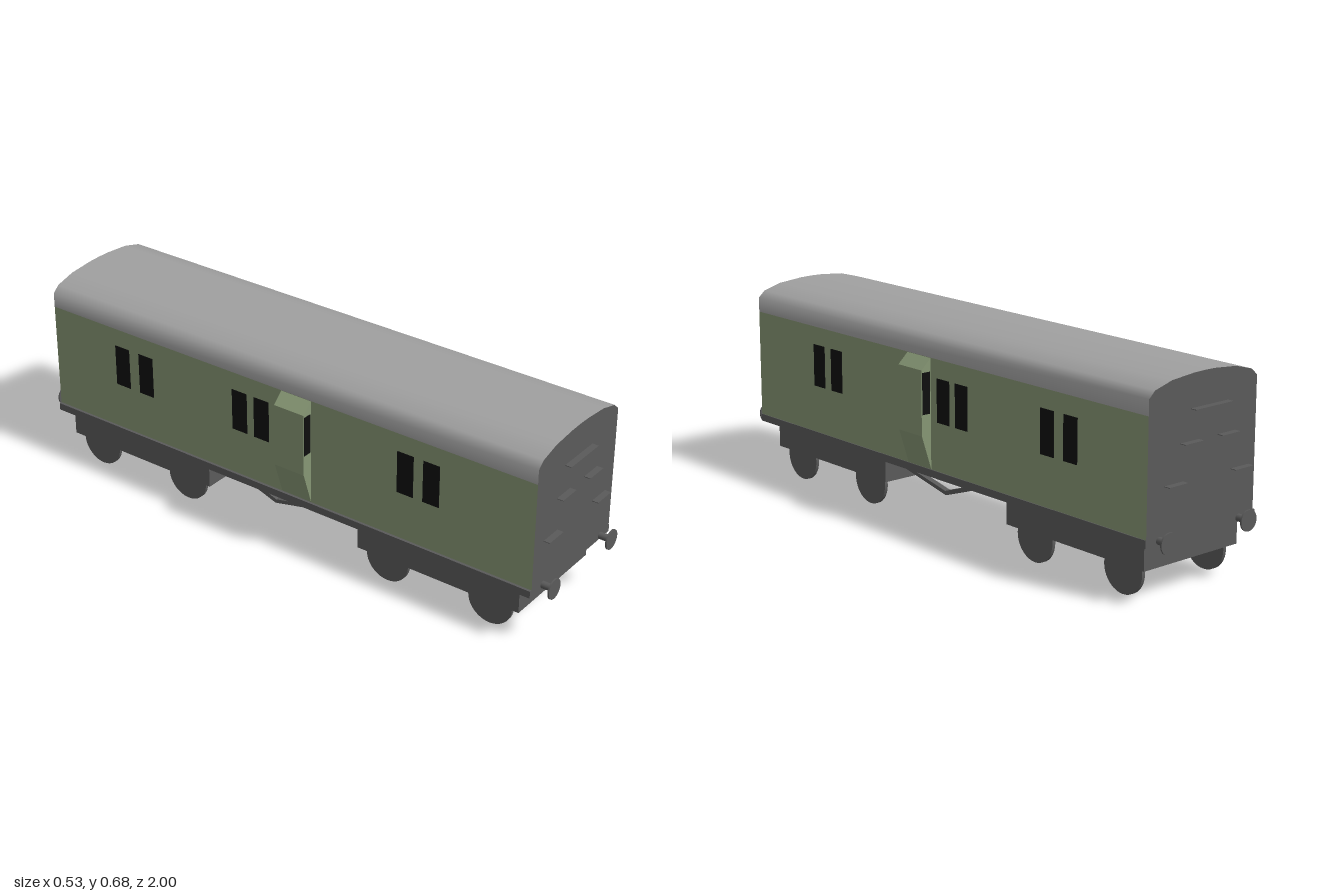
import * as THREE from 'three';
import { toCreasedNormals } from 'three/addons/utils/BufferGeometryUtils.js';

const material = (name, color) => {
  const m = new THREE.MeshStandardMaterial({ color });
  m.name = name;
  return m;
};

export function createModel() {
  const green = material('bodyGreen', 0x869674);
  const roofGrey = material('roofGrey', 0xa0a0a0);
  const darkGrey = material('darkGrey', 0x5a5a5a);
  const black = material('windowBlack', 0x0e0e0e);

  const model = new THREE.Group();
  model.name = 'railwayVan';

  const add = (name, geometry, mat) => {
    const mesh = new THREE.Mesh(geometry, mat);
    mesh.name = name;
    model.add(mesh);
    return mesh;
  };
  // Box given by its limits on each axis
  const box = (name, [x0, x1], [y0, y1], [z0, z1], mat) => {
    const mesh = add(name, new THREE.BoxGeometry(x1 - x0, y1 - y0, z1 - z0), mat);
    mesh.position.set((x0 + x1) / 2, (y0 + y1) / 2, (z0 + z1) / 2);
    return mesh;
  };
  // Outline in x, y extruded from z0 to z1
  const prism = (points, z0, z1) => {
    const shape = new THREE.Shape(points.map(([x, y]) => new THREE.Vector2(x, y)));
    return new THREE.ExtrudeGeometry(shape, { depth: z1 - z0, bevelEnabled: false }).translate(0, 0, z0);
  };

  const END = 0.957;
  const W = 0.228;

  // Body with green sides and dark ends
  box('body', [-W, W], [0.213, 0.583], [-END, END], [green, green, green, darkGrey, darkGrey, darkGrey]);

  // Curved roof with dark end caps
  const half = [[W, 0.583], [W, 0.633], [0.204, 0.655], [0.135, 0.674], [0.045, 0.682]];
  const outline = [...half, [0, 0.683], ...half.map(([x, y]) => [-x, y]).reverse()];
  add('roof', toCreasedNormals(prism(outline, -END, END), 0.9), [darkGrey, roofGrey]);

  // Underframe
  box('underframe', [-0.237, 0.231], [0.188, 0.213], [-END, END], darkGrey);

  // Side windows
  const windowPositions = [0.607, 0.511, -0.048, -0.137, -0.534, -0.636];
  for (const side of [-1, 1]) {
    for (const z of windowPositions) {
      const centre = side > 0 ? z : z - 0.02;
      const x = side * (W + 0.0005);
      box('sideWindow', [x - 0.0015, x + 0.0015], [0.376, 0.521], [centre - 0.03, centre + 0.03], black);
    }
  }

  // Projecting lookouts with a window in each end
  const z0 = 0.014, z1 = 0.13;
  for (const side of [-1, 1]) {
    const profile = [[0.22, 0.213], [W, 0.213], [0.266, 0.33], [0.266, 0.547], [W, 0.582], [0.22, 0.582]];
    add('lookout', prism(profile.map(([x, y]) => [x * side, y]), z0, z1), green);
    const xs = [side * 0.232, side * 0.263].sort((a, b) => a - b);
    for (const z of [z0, z1]) {
      box('lookoutWindow', xs, [0.4, 0.538], [z - 0.0015, z + 0.0015], black);
    }
  }

  for (const end of [-1, 1]) {
    // Climbing steps
    const shift = end > 0 ? 0 : -0.027;
    const zs = [end * END, end * 0.979].sort((a, b) => a - b);
    const steps = [[-0.076, 0.082, 0.576], [-0.112, -0.036, 0.478], [0.045, 0.122, 0.478],
      [-0.175, -0.097, 0.361], [0.107, 0.185, 0.361]];
    for (const [x0, x1, y] of steps) {
      box('endStep', [x0 + shift, x1 + shift], [y - 0.001, y + 0.001], zs, darkGrey);
    }
    // Buffers
    for (const x of [-0.165, 0.175]) {
      const shank = add('bufferShank', new THREE.CylinderGeometry(0.012, 0.012, 0.05, 16).rotateX(Math.PI / 2), darkGrey);
      shank.position.set(x, 0.201, end * 0.972);
      const head = add('bufferHead', new THREE.CylinderGeometry(0.034, 0.034, 0.005, 32).rotateX(Math.PI / 2), darkGrey);
      head.position.set(x, 0.201, end * 0.9975);
    }
  }

  // Bogies, each with a mounting block and four wheels
  const bogies = [
    { frame: [0.3, 0.905], mount: [0.433, 0.797], axles: [0.4, 0.787] },
    { frame: [-0.914, -0.31], mount: [-0.87, -0.497], axles: [-0.428, -0.815] },
  ];
  for (const { frame, mount, axles } of bogies) {
    box('bogieFrame', [-0.209, 0.191], [0.098, 0.173], frame, darkGrey);
    box('bogieMount', [-0.187, 0.187], [0.173, 0.188], mount, darkGrey);
    for (const z of axles) {
      for (const x of [-0.178, 0.172]) {
        const wheel = add('wheel', new THREE.CylinderGeometry(0.08, 0.08, 0.012, 36).rotateZ(Math.PI / 2), darkGrey);
        wheel.position.set(x, 0.08, z);
      }
    }
  }

  // V-shaped truss bars; the outline's first axis runs along -z
  const truss = [[-0.22, 0.19], [0.037, 0.134], [0.2, 0.19], [0.155, 0.19], [0.034, 0.148], [-0.165, 0.19]];
  for (const x of [-0.2, 0.19]) {
    const bar = add('trussBar', prism(truss, 0, 0.02), darkGrey);
    bar.rotation.y = Math.PI / 2;
    bar.position.x = x;
  }

  return model;
}
